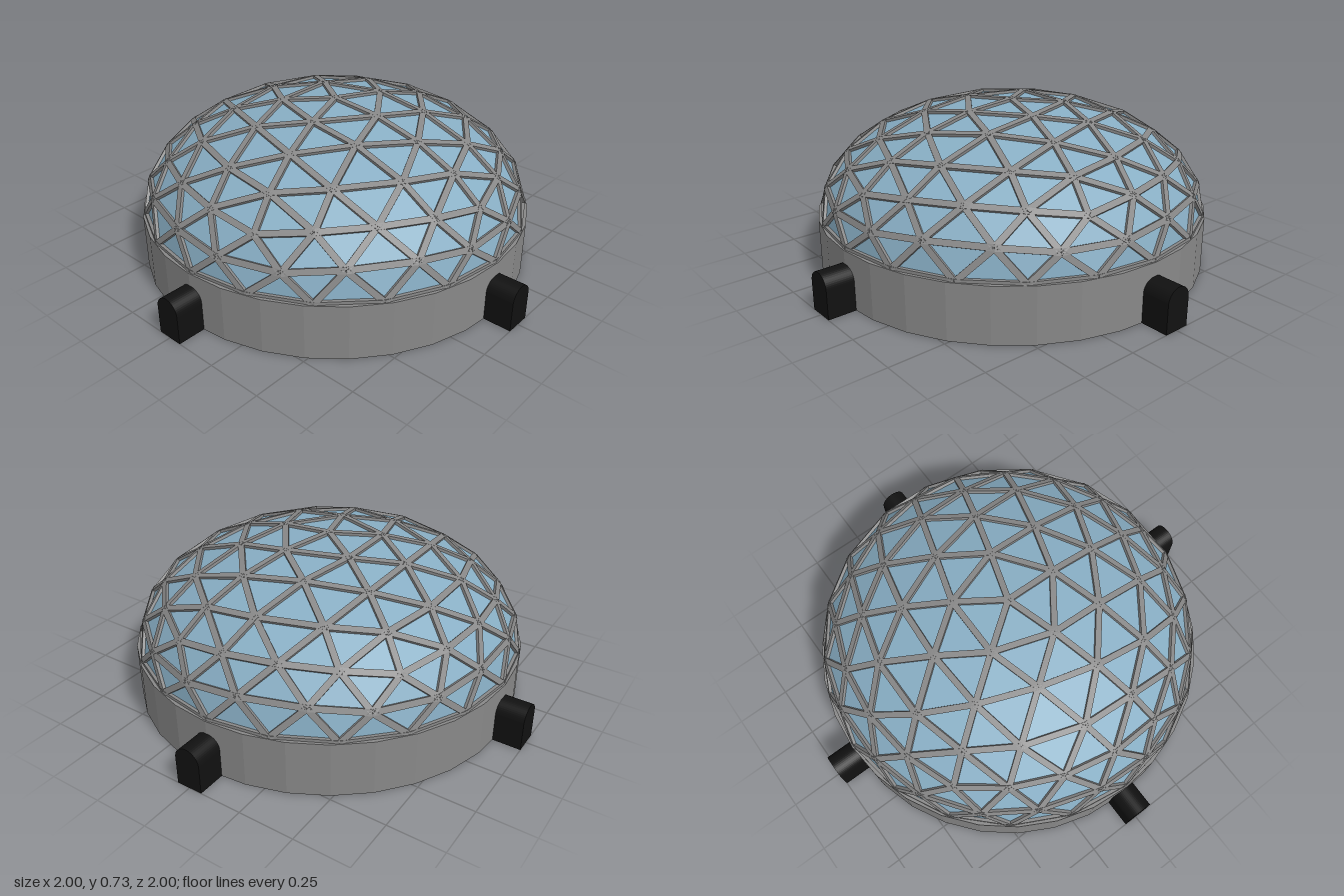
import * as THREE from 'three';
import { mergeGeometries } from 'three/addons/utils/BufferGeometryUtils.js';

const BASE_R = 0.88, BASE_H = 0.25;      // round base wall
const DOME_R = 0.862, DOME_H = 0.472;    // flattened half-sphere
const STRUT = 0.027;

const paint = (color) => new THREE.MeshStandardMaterial({ color, flatShading: true });

// Upper half of an icosahedron with a corner at the top, split twice
function domeTriangles() {
  const ring = (y, turn) => Array.from({ length: 5 }, (_, i) => {
    const a = (i * 72 + turn) * Math.PI / 180, r = Math.sqrt(1 - y * y);
    return new THREE.Vector3(r * Math.cos(a), y, r * Math.sin(a));
  });
  const h = 1 / Math.sqrt(5);
  const top = new THREE.Vector3(0, 1, 0), up = ring(h, 0), low = ring(-h, 36);
  let tris = [];
  for (let i = 0; i < 5; i++) {
    const j = (i + 1) % 5;
    tris.push([top, up[j], up[i]], [up[i], up[j], low[i]], [up[j], low[j], low[i]]);
  }
  const mid = (a, b) => a.clone().add(b).normalize();
  for (let level = 0; level < 2; level++) {
    tris = tris.flatMap(([a, b, c]) => {
      const ab = mid(a, b), bc = mid(b, c), ca = mid(c, a);
      return [[a, ab, ca], [ab, b, bc], [ca, bc, c], [ab, bc, ca]];
    });
  }
  return tris.filter((t) => t.every((p) => p.y > -0.001));
}

const onDome = (p) => new THREE.Vector3(p.x * DOME_R, BASE_H + p.y * DOME_H, p.z * DOME_R);

function glassGeometry(tris) {
  const geo = new THREE.BufferGeometry().setFromPoints(tris.flat().map(onDome));
  geo.computeVertexNormals();
  return geo;
}

// One square bar along each edge, its flat side facing outwards
function strutGeometry(tris) {
  const edges = new Map();
  const key = (p) => [p.x, p.y, p.z].map((v) => Math.round(v * 1000) + 0).join();
  for (const t of tris) {
    for (let i = 0; i < 3; i++) {
      const a = t[i], b = t[(i + 1) % 3];
      edges.set([key(a), key(b)].sort().join('|'), [a, b]);
    }
  }
  const bars = [...edges.values()].map(([a, b]) => {
    const p = onDome(a), q = onDome(b);
    const along = q.clone().sub(p);
    const length = along.length();
    along.normalize();
    const m = a.clone().add(b);
    const out = new THREE.Vector3(m.x / DOME_R, m.y / DOME_H, m.z / DOME_R);
    out.addScaledVector(along, -out.dot(along)).normalize();
    const side = out.clone().cross(along);
    const basis = new THREE.Matrix4().makeBasis(side, out, along);
    basis.setPosition(p.add(q).multiplyScalar(0.5));
    return new THREE.BoxGeometry(STRUT, 0.024, length).applyMatrix4(basis);
  });
  return mergeGeometries(bars);
}

// Round-topped entrance block, reaching from the wall to radius 1
function entranceGeometry() {
  const w = 0.06, spring = 0.13, inner = 0.85;
  const shape = new THREE.Shape();
  shape.moveTo(-w, 0);
  shape.lineTo(w, 0);
  shape.lineTo(w, spring);
  shape.absarc(0, spring, w, 0, Math.PI, false);
  shape.closePath();
  return new THREE.ExtrudeGeometry(shape, { depth: 1 - inner, bevelEnabled: false, curveSegments: 12 })
    .translate(0, 0, inner);
}

export function createModel() {
  const model = new THREE.Group();
  const add = (name, geo, material) => {
    const mesh = new THREE.Mesh(geo, material);
    mesh.name = name;
    model.add(mesh);
    return mesh;
  };
  const grey = paint(0x888888);

  // Base
  add('baseWall', new THREE.CylinderGeometry(BASE_R, BASE_R, BASE_H, 32).translate(0, BASE_H / 2, 0), grey);

  // Dome
  const tris = domeTriangles();
  add('domeGlass', glassGeometry(tris), paint(0x88aec4));
  add('domeStruts', strutGeometry(tris), grey);

  // Entrances on all four sides
  const dark = paint(0x111111);
  const entrance = entranceGeometry();
  ['frontEntrance', 'leftEntrance', 'backEntrance', 'rightEntrance'].forEach((name, i) => {
    add(name, entrance, dark).rotation.y = i * Math.PI / 2;
  });
  return model;
}
